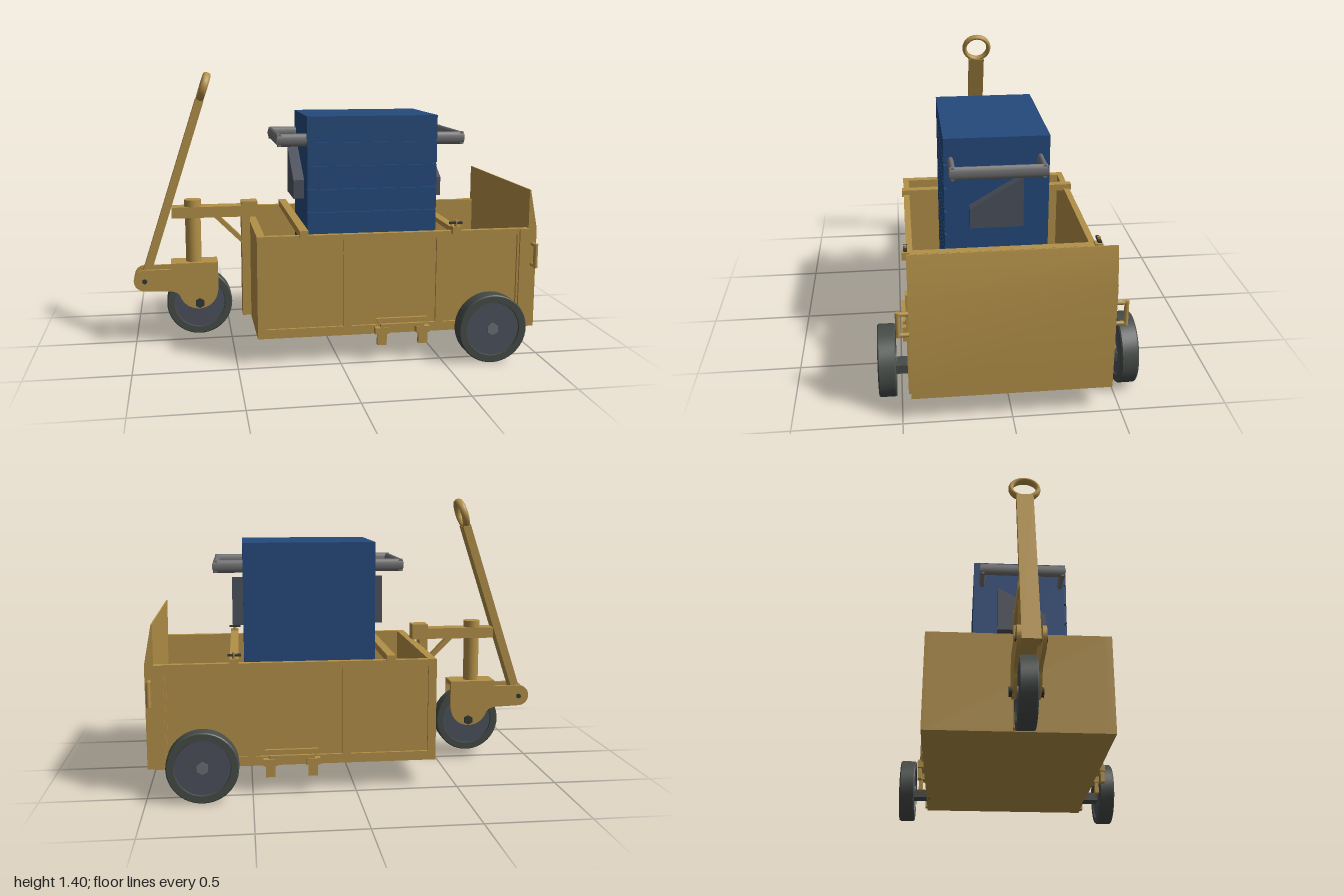
import * as THREE from 'three';
import { toCreasedNormals } from 'three/addons/utils/BufferGeometryUtils.js';

const mat = (color) => new THREE.MeshStandardMaterial({ color });
const GOLD = mat(0xb39048), BLUE = mat(0x244a7c), STEEL = mat(0x707072);
const SLATE = mat(0x4c515d), RUBBER = mat(0x464c48), CAP = mat(0x6b6f76), DARK = mat(0x333836);
const MID = 0.0125; // centre line of the steering gear

export function createModel() {
  const root = new THREE.Group();

  const add = (name, geo, material, parent = root) => {
    const m = new THREE.Mesh(geo, material);
    m.name = name;
    parent.add(m);
    return m;
  };
  // box from its limits on each axis
  const box = (name, x0, x1, y0, y1, z0, z1, material = GOLD, parent = root) => {
    const m = add(name, new THREE.BoxGeometry(x1 - x0, y1 - y0, z1 - z0), material, parent);
    m.position.set((x0 + x1) / 2, (y0 + y1) / 2, (z0 + z1) / 2);
    return m;
  };
  // cylinder along one axis
  const rod = (name, axis, r, len, x, y, z, material = GOLD, sides = 20, parent = root) => {
    const geo = new THREE.CylinderGeometry(r, r, len, sides);
    if (axis === 'x') geo.rotateZ(Math.PI / 2);
    if (axis === 'z') geo.rotateX(Math.PI / 2);
    const m = add(name, geo, material, parent);
    m.position.set(x, y, z);
    return m;
  };
  const polygon = (pts) => new THREE.Shape(pts.map(([x, y]) => new THREE.Vector2(x, y)));
  const slab = (name, shape, z0, z1, material = GOLD) => {
    const geo = new THREE.ExtrudeGeometry(shape, { depth: z1 - z0, bevelEnabled: false, curveSegments: 16 });
    const m = add(name, toCreasedNormals(geo, 0.5), material);
    m.position.z = z0;
    return m;
  };

  // tyre ring, recessed hub and hexagonal cap
  const wheel = (name, x, y, z, r, w) => {
    const g = new THREE.Group();
    g.name = name;
    g.position.set(x, y, z);
    const h = w / 2, ri = r * 0.76;
    const pts = [[ri, -h + 0.012], [ri + 0.004, -h], [r - 0.005, -h], [r, -h + 0.006],
      [r, h - 0.006], [r - 0.005, h], [ri + 0.004, h], [ri, h - 0.012]];
    const tyre = new THREE.LatheGeometry(pts.map(([a, b]) => new THREE.Vector2(a, b)), 48);
    tyre.rotateX(Math.PI / 2);
    add('tyre', toCreasedNormals(tyre, 0.5), RUBBER, g);
    rod('hub', 'z', ri + 0.002, w - 0.016, 0, 0, 0, SLATE, 48, g);
    rod('hubCap', 'z', 0.03, w + 0.002, 0, 0, 0, CAP, 6, g);
    root.add(g);
  };

  // cart tub
  box('floor', -0.4, 0.96, 0.13, 0.15, -0.44, 0.44);
  box('frontWall', -0.4, -0.36, 0.13, 0.635, -0.44, 0.44);
  const frame = polygon([[-0.4, 0.13], [0.96, 0.13], [0.96, 0.635], [-0.4, 0.635]]);
  for (const [a, b] of [[-0.36, 0.02], [0.06, 0.485], [0.525, 0.9]]) {
    frame.holes.push(polygon([[a, 0.175], [a, 0.605], [b, 0.605], [b, 0.175]]));
  }
  for (const s of [-1, 1]) {
    const zs = (a, b) => (s > 0 ? [a, b] : [-b, -a]);
    box('sideWall', -0.4, 0.96, 0.13, 0.635, ...zs(0.425, 0.443));
    slab('sideFrame', frame, ...zs(0.443, 0.456));
    box('cornerPost', 0.91, 0.957, 0.13, 0.635, ...zs(0.44, 0.468));

    // tailgate pull handle
    for (const y of [0.453, 0.557]) rod('handleStub', 'z', 0.01, 0.06, 0.978, y, s * 0.48, GOLD, 10);
    rod('handleGrip', 'y', 0.011, 0.122, 0.978, 0.505, s * 0.504, GOLD, 10);

    // crossbar clamp with wing nut
    box('barClamp', 0.558, 0.6, 0.622, 0.66, ...zs(0.44, 0.478));
    rod('clampBolt', 'y', 0.009, 0.05, 0.579, 0.665, s * 0.46, GOLD, 10);
    box('wingNut', 0.546, 0.61, 0.671, 0.681, ...zs(0.45, 0.468), DARK);

    // step hanging from the side
    const lip = slab('step', polygon([[0.18, 0.21], [0.2, 0.17], [0.42, 0.17], [0.44, 0.21]]), ...zs(0.455, 0.472));
    lip.name = 'stepPlate';
    box('stepTread', 0.2, 0.42, 0.168, 0.185, ...zs(0.455, 0.488));
    for (const x of [0.208, 0.414]) {
      box('stepBracket', x - 0.034, x + 0.034, 0.135, 0.167, ...zs(0.452, 0.49));
      box('stepFoot', x - 0.023, x + 0.023, 0.08, 0.135, ...zs(0.468, 0.488));
    }

    // rear wheels on stub axles
    box('axleStub', 0.714, 0.794, 0.13, 0.174, ...zs(0.44, 0.535), RUBBER);
    wheel('rearWheel', 0.733, 0.171, s * 0.563, 0.17, 0.083);
  }
  box('frontCrossbar', -0.195, -0.153, 0.625, 0.66, -0.465, 0.465);
  box('rearCrossbar', 0.558, 0.6, 0.628, 0.652, -0.46, 0.46);
  slab('tailgate', polygon([[0.957, 0.13], [0.998, 0.13], [0.998, 0.635], [0.961, 0.83], [0.955, 0.83]]), -0.457, 0.457);

  // tool chest with drawers
  box('chest', -0.13, 0.53, 0.15, 1.19, -0.222, 0.258, BLUE);
  box('chestLid', -0.13, 0.53, 1.07, 1.19, 0.258, 0.27, BLUE);
  for (let i = 0; i < 8; i++) {
    const top = 1.06 - i * 0.1165;
    box('drawer', -0.13, 0.53, Math.max(top - 0.106, 0.15), top, 0.258, 0.27, BLUE);
  }
  // end bars and sloping pockets of the chest
  for (const s of [-1, 1]) {
    const at = (d) => 0.2 + s * d;
    for (const z of [-0.178, 0.238]) {
      rod('barArm', 'x', 0.032, 0.15, at(0.4), 1.072, z, STEEL, 16).scale.z = 0.5;
    }
    rod('endBar', 'z', 0.032, 0.44, at(0.464), 1.072, 0.03, STEEL, 16).scale.x = 0.5;
    const shape = polygon([[0.095, 1.01], [-0.155, 0.86], [-0.155, 0.765], [0.095, 0.765]]);
    const pocket = new THREE.ExtrudeGeometry(shape, { depth: 0.055, bevelEnabled: false });
    pocket.rotateY(Math.PI / 2);
    add('sidePocket', pocket, SLATE).position.x = s > 0 ? 0.53 : -0.185;
  }

  // front mast, boom, brace and kingpin
  box('mastRib', -0.443, -0.4, 0.135, 0.7, MID - 0.043, MID + 0.043);
  box('mastClamp', -0.443, -0.36, 0.66, 0.74, MID - 0.043, MID + 0.043);
  box('boom', -0.8, -0.4, 0.662, 0.718, MID - 0.043, MID + 0.043);
  slab('brace', polygon([[-0.59, 0.665], [-0.44, 0.515], [-0.44, 0.548], [-0.557, 0.665]]), MID - 0.02, MID + 0.02);
  rod('kingpin', 'y', 0.04, 0.32, -0.692, 0.59, MID, GOLD, 24);
  rod('kingpinCap', 'y', 0.043, 0.04, -0.692, 0.733, MID, GOLD, 24);

  // steering fork
  const cheek = new THREE.Shape();
  cheek.moveTo(-0.57, 0.425);
  cheek.lineTo(-0.805, 0.425);
  cheek.lineTo(-0.805, 0.4);
  cheek.lineTo(-0.945, 0.4);
  cheek.absarc(-0.945, 0.345, 0.055, Math.PI / 2, Math.PI * 1.5, false);
  cheek.lineTo(-0.82, 0.285);
  cheek.quadraticCurveTo(-0.772, 0.28, -0.765, 0.25);
  cheek.quadraticCurveTo(-0.735, 0.187, -0.665, 0.187);
  cheek.quadraticCurveTo(-0.57, 0.2, -0.57, 0.31);
  for (const s of [-1, 1]) {
    slab('forkCheek', cheek, MID + s * 0.054 - 0.009, MID + s * 0.054 + 0.009);
  }
  box('forkPlate', -0.81, -0.57, 0.405, 0.43, MID - 0.063, MID + 0.063);
  wheel('steeringWheel', -0.667, 0.215, MID, 0.168, 0.086);
  rod('wheelBolt', 'z', 0.025, 0.155, -0.667, 0.218, MID, DARK, 6);
  rod('tillerBolt', 'z', 0.013, 0.14, -0.945, 0.342, MID, DARK, 8);

  // tiller with ring grip
  const tiller = new THREE.Group();
  tiller.name = 'tiller';
  tiller.position.set(-0.945, 0.345, MID);
  tiller.rotation.z = -Math.atan2(0.345, 1.055);
  box('tillerBar', -0.021, 0.021, -0.02, 0.965, -0.042, 0.042, GOLD, tiller);
  const ring = new THREE.TorusGeometry(0.068, 0.012, 12, 36);
  ring.rotateY(Math.PI / 2);
  const grip = add('ringGrip', ring, GOLD, tiller);
  grip.scale.x = 1.6;
  grip.position.y = 1.03;
  root.add(tiller);

  return root;
}
